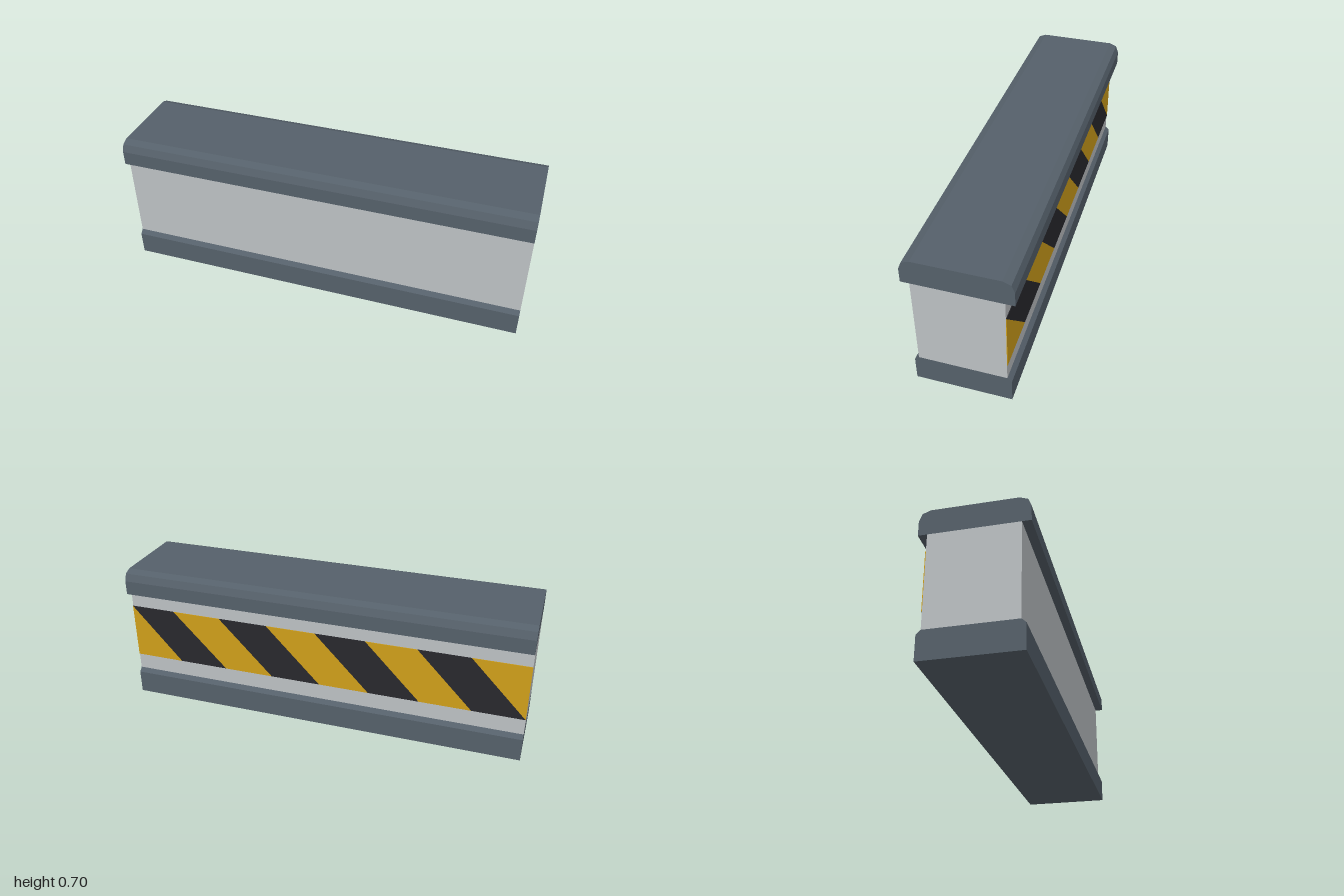
import * as THREE from 'three';

const LENGTH = 2;

const material = (color) => new THREE.MeshStandardMaterial({ color, flatShading: true });

// Extrudes a z-symmetric profile along x; points list the +z half from bottom to top.
function bar(name, half, mat) {
  const mirrored = half.map(([z, y]) => [-z, y]).reverse();
  const shape = new THREE.Shape([...half, ...mirrored].map(([z, y]) => new THREE.Vector2(z, y)));
  const geometry = new THREE.ExtrudeGeometry(shape, { depth: LENGTH, bevelEnabled: false });
  geometry.translate(0, 0, -LENGTH / 2).rotateY(Math.PI / 2);
  const mesh = new THREE.Mesh(geometry, mat);
  mesh.name = name;
  return mesh;
}

// Thin band of slanted warning stripes on the back face
function warningBand() {
  const yellow = material(0xcf9f1a);
  const black = material(0x28282d);
  const bottom = 0.217, top = 0.497, slant = 0.27, pitch = 0.25, count = 9;
  const clamp = (u) => THREE.MathUtils.clamp(u, 0, LENGTH) - LENGTH / 2;
  const topEdge = (k) => (k === count ? LENGTH / 2 : clamp(k * pitch - slant));

  const band = new THREE.Group();
  band.name = 'warningBand';
  for (let k = 0; k < count; k++) {
    const corners = [
      [clamp(k * pitch), bottom],
      [clamp((k + 1) * pitch), bottom],
      [topEdge(k + 1), top],
      [topEdge(k), top],
    ].map(([x, y]) => new THREE.Vector2(x, y));
    // Drop repeated corners so the end stripes become clean triangles
    const outline = corners.filter((p, i) => p.distanceTo(corners[(i + 1) % 4]) > 1e-6);
    const geometry = new THREE.ExtrudeGeometry(new THREE.Shape(outline), { depth: 0.003, bevelEnabled: false });
    geometry.rotateY(Math.PI);
    const stripe = new THREE.Mesh(geometry, k % 2 ? black : yellow);
    stripe.name = k % 2 ? 'blackStripe' : 'yellowStripe';
    band.add(stripe);
  }
  band.position.z = -0.2;
  return band;
}

export function createModel() {
  const model = new THREE.Group();
  model.name = 'barrier';
  const wall = material(0xbcc0c3);
  const trim = material(0x55606a);

  model.add(
    // Wall, closed above and below by the trim
    bar('wall', [[0.2, 0.135], [0.2, 0.58]], wall),
    // Kick base with a chamfered top edge
    bar('base', [[0.22, 0], [0.22, 0.116], [0.2, 0.135]], trim),
    // Overhanging cap with faceted shoulders
    bar('cap', [[0.24, 0.58], [0.24, 0.65], [0.226, 0.686], [0.19, 0.7]], trim),
    warningBand(),
  );
  return model;
}
